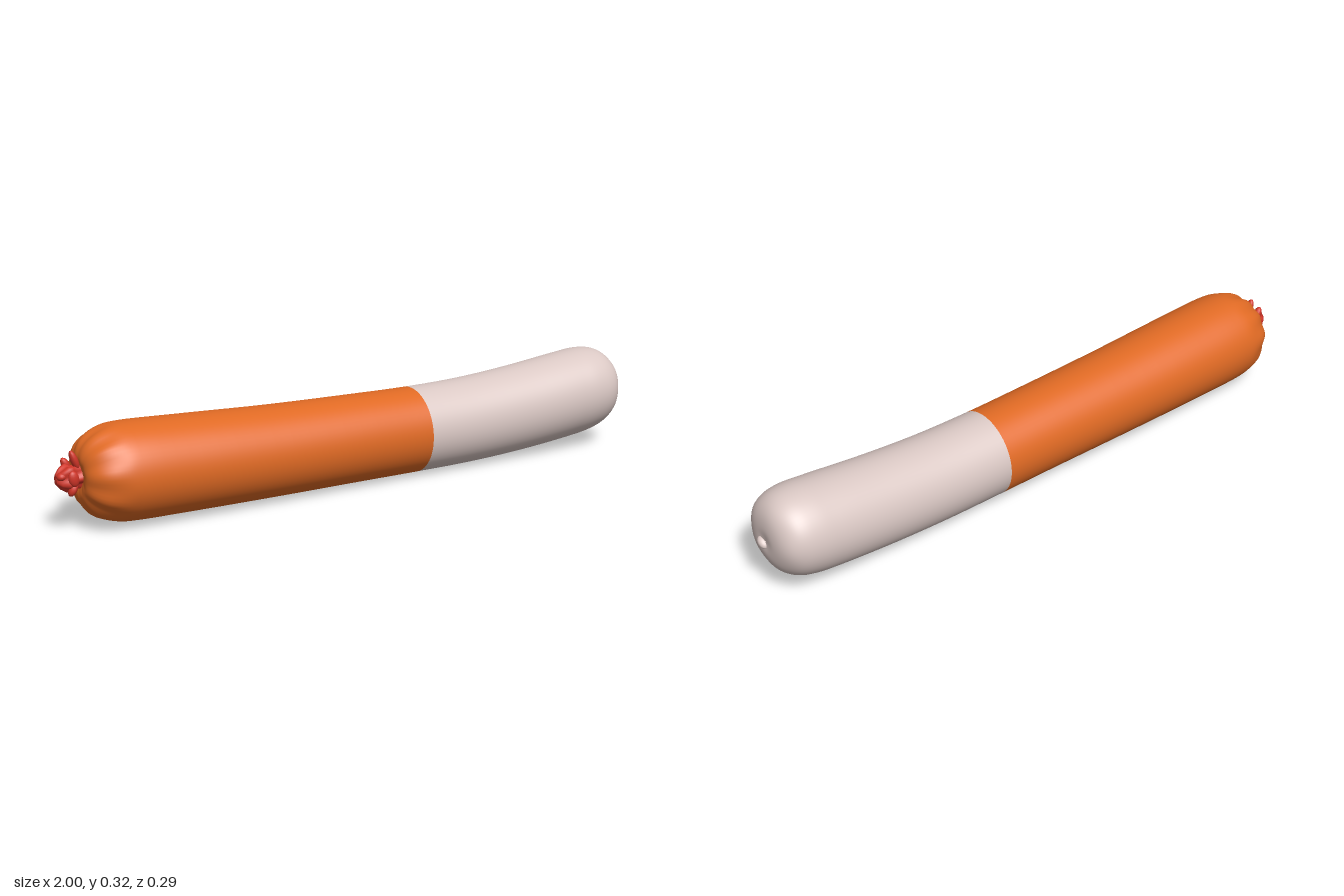
import * as THREE from 'three';

const orange = new THREE.MeshStandardMaterial({ color: 0xe06a24 });
orange.name = 'orange casing';
const pale = new THREE.MeshStandardMaterial({ color: 0xdac8c4 });
pale.name = 'pale casing';
const red = new THREE.MeshStandardMaterial({ color: 0xd03528 });
red.name = 'red knot';

// Closed skin through elliptical rings; ring(i) gives x, y, ry, rz and a ripple function of the angle.
function skin(rings, sides) {
  const pos = [], index = [];
  rings.forEach(({ x, y, ry, rz, z = 0, ripple = () => 1 }) => {
    for (let j = 0; j < sides; j++) {
      const a = (j / sides) * Math.PI * 2, k = ripple(a);
      pos.push(x, y + Math.cos(a) * ry * k, z + Math.sin(a) * rz * k);
    }
  });
  for (let i = 0; i < rings.length - 1; i++) {
    for (let j = 0; j < sides; j++) {
      const a = i * sides + j, c = i * sides + (j + 1) % sides;
      index.push(a, c, a + sides, c, c + sides, a + sides);
    }
  }
  const g = new THREE.BufferGeometry();
  g.setAttribute('position', new THREE.Float32BufferAttribute(pos, 3));
  g.setIndex(index);
  g.computeVertexNormals();
  return g;
}

// Stations along the sausage: x, bottom, top, half width
const STATIONS = [
  [-0.915, 0.158, 0.162, 0.002], [-0.927, 0.125, 0.195, 0.035], [-0.93, 0.095, 0.225, 0.065],
  [-0.915, 0.062, 0.258, 0.098], [-0.885, 0.035, 0.283, 0.124], [-0.84, 0.017, 0.299, 0.14],
  [-0.79, 0.011, 0.303, 0.146], [-0.6, 0.007, 0.296, 0.146], [-0.3, 0.004, 0.283, 0.14],
  [0, 0.003, 0.276, 0.134], [0.2, 0.002, 0.273, 0.132], [0.4, 0.003, 0.277, 0.132],
  [0.6, 0.012, 0.292, 0.134], [0.8, 0.03, 0.314, 0.137], [0.87, 0.04, 0.32, 0.136],
  [0.92, 0.055, 0.315, 0.128], [0.955, 0.079, 0.298, 0.11], [0.975, 0.107, 0.272, 0.083],
  [0.985, 0.145, 0.23, 0.042], [0.982, 0.184, 0.188, 0.002],
];

function createBody() {
  const sides = 64, sub = 5, rings = [];
  const edges = new THREE.CatmullRomCurve3(STATIONS.map(s => new THREE.Vector3(s[0], s[1], s[2])));
  const widths = new THREE.CatmullRomCurve3(STATIONS.map(s => new THREE.Vector3(s[0], s[3], 0)));
  const n = (STATIONS.length - 1) * sub;
  for (let i = 0; i <= n; i++) {
    const e = edges.getPoint(i / n), w = widths.getPoint(i / n);
    // Gathered folds fade away from the tied end; the blunt end has only faint dimples
    const fold = 0.075 * THREE.MathUtils.smoothstep(-e.x, 0.8, 0.925);
    const dimple = 0.03 * THREE.MathUtils.smoothstep(e.x, 0.93, 0.98);
    rings.push({
      x: e.x, y: (e.y + e.z) / 2, ry: (e.z - e.y) / 2, rz: w.y,
      ripple: a => 1 - fold * (0.5 + 0.5 * Math.cos(11 * a + Math.sin(2 * a)))
        - dimple * (0.5 + 0.5 * Math.sin(5 * a)),
    });
  }
  const g = skin(rings, sides);
  // Colour change falls on the station at x = 0.2
  const split = 10 * sub * sides * 6;
  g.addGroup(0, split, 0);
  g.addGroup(split, g.index.count - split, 1);
  const body = new THREE.Mesh(g, [orange, pale]);
  body.name = 'sausageBody';
  return body;
}

function createKnot() {
  const knot = new THREE.Group();
  knot.name = 'tiedEnd';
  // Crumpled stem of the twisted casing
  const profile = [[-0.99, 0.001], [-0.998, 0.012], [-0.985, 0.024], [-0.965, 0.034],
    [-0.95, 0.03], [-0.935, 0.027], [-0.91, 0.03]];
  const stem = new THREE.Mesh(skin(profile.map(([x, r], i) => ({
    x, y: 0.163, ry: r * 1.15, rz: r * 0.9,
    ripple: a => 1 + 0.16 * Math.cos(5 * a + i * 0.8),
  })), 30), red);
  stem.name = 'knotStem';
  knot.add(stem);
  // Ruffled flaps: position, half sizes, tilt
  [
    [-0.942, 0.212, 0.006, 0.011, 0.032, 0.014, 0.35],
    [-0.958, 0.196, -0.018, 0.012, 0.024, 0.013, 0.5],
    [-0.95, 0.128, 0.008, 0.012, 0.021, 0.014, -0.5],
    [-0.966, 0.142, -0.016, 0.014, 0.02, 0.012, -0.7],
    [-0.955, 0.165, 0.029, 0.016, 0.024, 0.01, 0.2],
    [-0.957, 0.162, -0.029, 0.016, 0.022, 0.01, -0.2],
    [-0.984, 0.172, 0.01, 0.015, 0.012, 0.015, 0.3],
  ].forEach(([x, y, z, sx, sy, sz, tilt]) => {
    const flap = new THREE.Mesh(new THREE.SphereGeometry(1, 14, 10), red);
    flap.position.set(x, y, z);
    flap.scale.set(sx, sy, sz);
    flap.rotation.z = tilt;
    flap.name = 'knotFlap';
    knot.add(flap);
  });
  return knot;
}

export function createModel() {
  const model = new THREE.Group();
  model.name = 'sausage';
  model.add(createBody(), createKnot());
  // Small twisted nub on the blunt end
  const nub = new THREE.Mesh(new THREE.SphereGeometry(1, 14, 10), pale);
  nub.name = 'endNub';
  nub.position.set(0.982, 0.177, 0.012);
  nub.scale.set(0.016, 0.013, 0.022);
  nub.rotation.x = -0.6;
  model.add(nub);
  return model;
}
